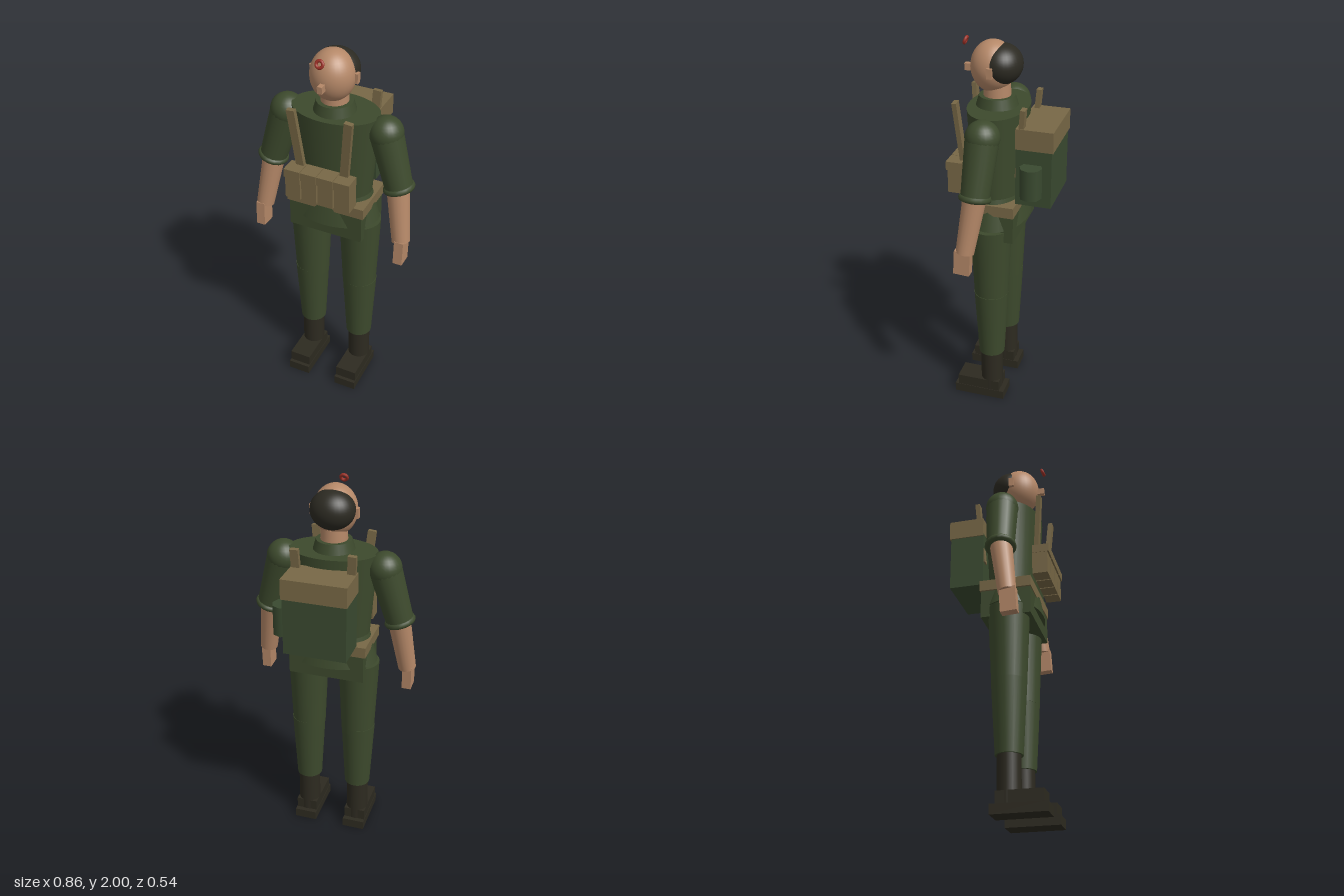
import * as THREE from 'three';

const mat = (name, color) => {
  const m = new THREE.MeshStandardMaterial({ color });
  m.name = name;
  return m;
};
const V = (x, y, z) => new THREE.Vector3(x, y, z);

export function createModel() {
  const model = new THREE.Group();
  model.name = 'soldier';

  const skin = mat('skin', 0xb58868);
  const cloth = mat('uniformGreen', 0x3d4a2d);
  const pack = mat('packGreen', 0x3a4a30);
  const web = mat('webbingTan', 0x786846);
  const leather = mat('bootLeather', 0x2d2a20);
  const hairMat = mat('hair', 0x2c2a22);
  const red = mat('badgeRed', 0x9c3026);

  const add = (name, geo, material, x = 0, y = 0, z = 0) => {
    const mesh = new THREE.Mesh(geo, material);
    mesh.name = name;
    mesh.position.set(x, y, z);
    model.add(mesh);
    return mesh;
  };
  // Box given by its size and centre
  const box = (name, m, w, h, d, x, y, z) => add(name, new THREE.BoxGeometry(w, h, d), m, x, y, z);
  // Upright cylinder from y0 to y1
  const column = (name, m, rTop, rBottom, y0, y1, x, z, sides = 24) =>
    add(name, new THREE.CylinderGeometry(rTop, rBottom, y1 - y0, sides), m, x, (y0 + y1) / 2, z);
  // Aim a mesh's y axis from b up to a
  const aim = (mesh, a, b) => {
    mesh.quaternion.setFromUnitVectors(V(0, 1, 0), a.clone().sub(b).normalize());
    return mesh;
  };
  const between = (name, m, geo, a, b) => {
    const c = a.clone().add(b).multiplyScalar(0.5);
    return aim(add(name, geo, m, c.x, c.y, c.z), a, b);
  };
  const limb = (name, m, a, b, rA, rB) =>
    between(name, m, new THREE.CylinderGeometry(rA, rB, a.distanceTo(b), 20), a, b);
  const strap = (name, a, b) =>
    between(name, web, new THREE.BoxGeometry(0.042, a.distanceTo(b), 0.024), a, b);

  // Torso, flared jacket hem and collar
  column('torso', cloth, 0.225, 0.188, 1.2, 1.67, 0, 0.045, 32).scale.z = 0.667;
  column('jacketHem', cloth, 0.19, 0.235, 1.075, 1.24, 0, 0.045, 32).scale.z = 0.66;
  box('jacketSkirt', cloth, 0.395, 0.15, 0.26, 0, 1.085, 0.046);
  column('collar', cloth, 0.09, 0.108, 1.66, 1.72, 0, 0.055);
  box('belt', web, 0.416, 0.057, 0.268, 0, 1.185, 0.046);

  // Head
  column('neck', skin, 0.066, 0.07, 1.68, 1.78, 0, 0.055);
  add('head', new THREE.SphereGeometry(0.11, 32, 24), skin, 0, 1.862, 0.075).scale.y = 1.16;
  add('hair', new THREE.SphereGeometry(0.11, 32, 24), hairMat, 0, 1.876, 0.03).scale.set(1.02, 0.9, 0.93);
  box('nose', skin, 0.025, 0.035, 0.045, 0, 1.846, 0.195);
  const badge = add('badge', new THREE.TorusGeometry(0.0165, 0.008, 8, 14), red, 0, 1.975, 0.212);
  badge.rotation.x = -0.4;

  for (const s of [-1, 1]) {
    const side = s > 0 ? 'left' : 'right';
    box(side + 'Ear', skin, 0.02, 0.05, 0.028, s * 0.113, 1.86, 0.058);

    // Arms
    const shoulder = V(s * 0.262, 1.6, 0.046);
    const elbow = V(s * 0.344, 1.32, 0.06);
    const wrist = V(s * 0.383, 1.035, 0.104);
    add(side + 'Shoulder', new THREE.SphereGeometry(0.085, 24, 16), cloth, ...shoulder.toArray());
    limb(side + 'Sleeve', cloth, shoulder, elbow, 0.083, 0.07);
    const cuffGeo = new THREE.TorusGeometry(0.064, 0.017, 8, 18).rotateX(Math.PI / 2);
    aim(add(side + 'Cuff', cuffGeo, cloth, ...elbow.toArray()), shoulder, elbow);
    limb(side + 'Forearm', skin, elbow.clone().lerp(shoulder, 0.1), wrist, 0.059, 0.046);
    box(side + 'Hand', skin, 0.048, 0.13, 0.082, s * 0.389, 0.985, 0.113).rotation.x = -0.06;

    // Legs and boots
    column(side + 'Thigh', cloth, 0.107, 0.088, 0.64, 1.065, s * 0.138, 0.05);
    column(side + 'Shin', cloth, 0.09, 0.069, 0.29, 0.67, s * 0.14, 0.05);
    column(side + 'BootShaft', leather, 0.059, 0.059, 0.05, 0.31, s * 0.142, 0.05);
    box(side + 'BootToe', leather, 0.116, 0.062, 0.235, s * 0.142, 0.079, 0.112);
    box(side + 'BootSole', leather, 0.121, 0.05, 0.28, s * 0.142, 0.025, 0.108);

    // Shoulder straps
    strap(side + 'FrontStrap', V(s * 0.148, 1.715, 0.22), V(s * 0.112, 1.36, 0.192));
    strap(side + 'BackStrap', V(s * 0.145, 1.715, -0.12), V(s * 0.13, 1.36, -0.09));
  }

  // Four chest pouches with flaps
  for (let i = 0; i < 4; i++) {
    const x = (i - 1.5) * 0.0875;
    box('pouch', web, 0.08, 0.16, 0.08, x, 1.32, 0.222);
    box('pouchFlap', web, 0.084, 0.045, 0.086, x, 1.384, 0.227);
  }

  // Backpack and flask
  box('backpack', pack, 0.322, 0.31, 0.18, 0, 1.375, -0.175);
  box('backpackFlap', web, 0.332, 0.105, 0.187, 0, 1.568, -0.179);
  column('flask', pack, 0.056, 0.056, 1.285, 1.443, 0.19, -0.171, 8);

  return model;
}
